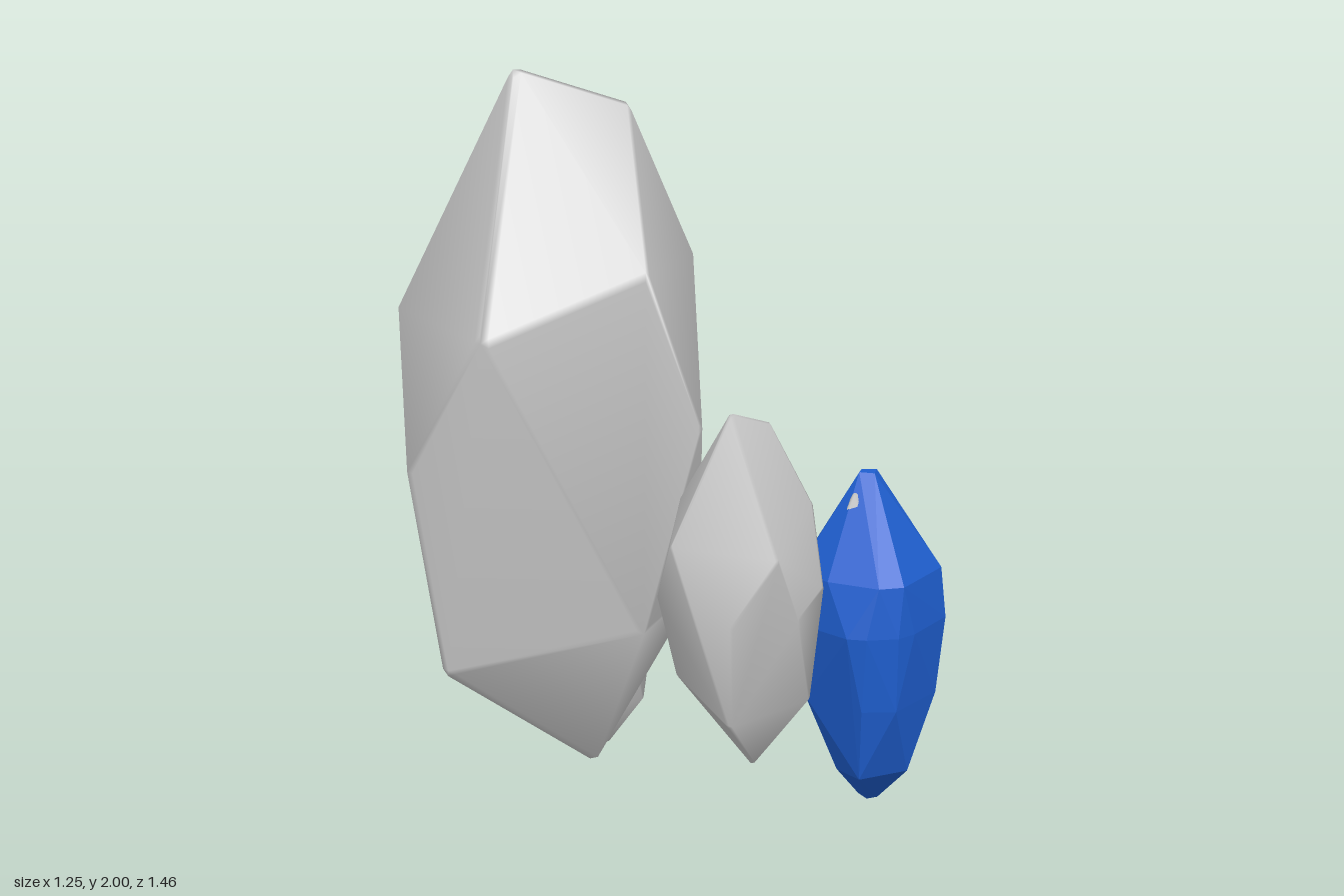
import * as THREE from 'three';
import { ConvexGeometry } from 'three/addons/geometries/ConvexGeometry.js';
import { mergeVertices } from 'three/addons/utils/BufferGeometryUtils.js';

const V = (p) => new THREE.Vector3(...p);

// Convex stone through the given corners, its edges softly rounded with radius r
function stoneGeometry(corners, r) {
  const pts = corners.map(V);
  const centre = new THREE.Box3().setFromPoints(pts).getCenter(new THREE.Vector3());
  const ball = new THREE.IcosahedronGeometry(r, 0).getAttribute('position');
  const dirs = new Map();
  for (let i = 0; i < ball.count; i++) {
    const d = new THREE.Vector3().fromBufferAttribute(ball, i);
    dirs.set(d.toArray().map((n) => n.toFixed(4)).join(), d);
  }
  const hull = [];
  for (const p of pts) {
    const inner = p.clone().addScaledVector(p.clone().sub(centre).normalize(), -r);
    for (const d of dirs.values()) hull.push(inner.clone().add(d));
  }
  // Area-weighted normals keep the large facets flat and the bevels smooth
  const geometry = new ConvexGeometry(hull);
  geometry.deleteAttribute('normal');
  const smooth = mergeVertices(geometry, 1e-5);
  smooth.computeVertexNormals();
  return smooth;
}

// Corners of the tall crystal
const TALL = [
  [-0.25, 2.0, -0.23], [-0.03, 1.92, -0.08],
  [0.19, 1.54, -0.08], [-0.18, 1.54, 0.17], [0.04, 1.54, -0.48],
  [-0.56, 1.4, 0.03], [-0.42, 1.41, -0.51],
  [0.27, 1.13, -0.18], [-0.03, 1.14, 0.21], [-0.03, 1.13, -0.58], [-0.63, 1.05, -0.18],
  [0.19, 0.62, -0.05], [-0.17, 0.62, 0.15], [0.06, 0.64, -0.47], [-0.53, 0.51, -0.18],
  [-0.1, 0.19, -0.13],
];

// Corners of the small crystal, measured from its bottom tip
const SMALL = [
  [-0.24, 1.26, 0.54], [-0.11, 1.22, 0.525],
  [-0.03, 1.03, 0.59], [-0.12, 1.035, 0.375], [-0.24, 1.04, 0.375],
  [-0.385, 0.97, 0.5], [-0.27, 0.965, 0.725],
  [-0.03, 0.85, 0.4], [-0.03, 0.83, 0.635], [-0.26, 0.84, 0.35], [-0.365, 0.83, 0.43],
  [-0.36, 0.81, 0.67], [-0.185, 0.8, 0.71],
  [-0.03, 0.62, 0.56], [-0.115, 0.585, 0.675], [-0.08, 0.62, 0.395],
  [-0.33, 0.56, 0.64], [-0.3, 0.62, 0.43],
  [-0.16, 0.4, 0.54],
].map(([x, y, z]) => [x + 0.16, y - 0.4, z - 0.54]);

// Rings of the coloured crystal: height, then [x, z] corners
const BLUE_RINGS = [
  [0.985, [[0.4, 0.34], [0.46, 0.345], [0.43, 0.32], [0.42, 0.375]]],
  [0.73, [[0.61, 0.25], [0.57, 0.21], [0.4, 0.16], [0.26, 0.26], [0.25, 0.38], [0.3, 0.51],
    [0.36, 0.54], [0.57, 0.48], [0.6, 0.42]]],
  [0.6, [[0.62, 0.25], [0.59, 0.21], [0.41, 0.145], [0.37, 0.15], [0.25, 0.25], [0.235, 0.29],
    [0.24, 0.46], [0.27, 0.5], [0.34, 0.545], [0.4, 0.545], [0.57, 0.5], [0.6, 0.46]]],
  [0.4, [[0.61, 0.28], [0.59, 0.45], [0.54, 0.5], [0.35, 0.535], [0.28, 0.48], [0.26, 0.3], [0.4, 0.18]]],
  [0.2, [[0.55, 0.3], [0.54, 0.4], [0.45, 0.49], [0.31, 0.45], [0.32, 0.36], [0.42, 0.24]]],
  [0.082, [[0.44, 0.36], [0.48, 0.34], [0.47, 0.37], [0.45, 0.32]]],
];

export function createModel() {
  const group = new THREE.Group();
  const grey = new THREE.MeshStandardMaterial({ color: 0xcccccc });
  const blue = new THREE.MeshStandardMaterial({ color: 0x1f5fd0, flatShading: true });

  const add = (name, geometry, material, position = [0, 0, 0], scale = [1, 1, 1]) => {
    const mesh = new THREE.Mesh(geometry, material);
    mesh.name = name;
    mesh.position.set(...position);
    mesh.scale.set(...scale);
    group.add(mesh);
  };

  // Tall grey crystal
  add('tallCrystal', stoneGeometry(TALL, 0.022), grey);

  // Small grey crystals share one shape; the core sits inside the coloured crystal
  const small = stoneGeometry(SMALL, 0.009);
  add('frontCrystal', small, grey, [-0.16, 0.4, 0.54]);
  add('backCrystal', small, grey, [0.31, 0, -0.57], [0.85, 0.85, 0.85]);
  add('innerCore', small, grey, [0.433, 0.165, 0.355], [0.8, 0.9, 0.8]);

  // Coloured crystal with narrow bevel facets
  const corners = BLUE_RINGS.flatMap(([y, ring]) => ring.map(([x, z]) => [x, y, z]));
  add('blueCrystal', new ConvexGeometry(corners.map(V)), blue);

  return group;
}
